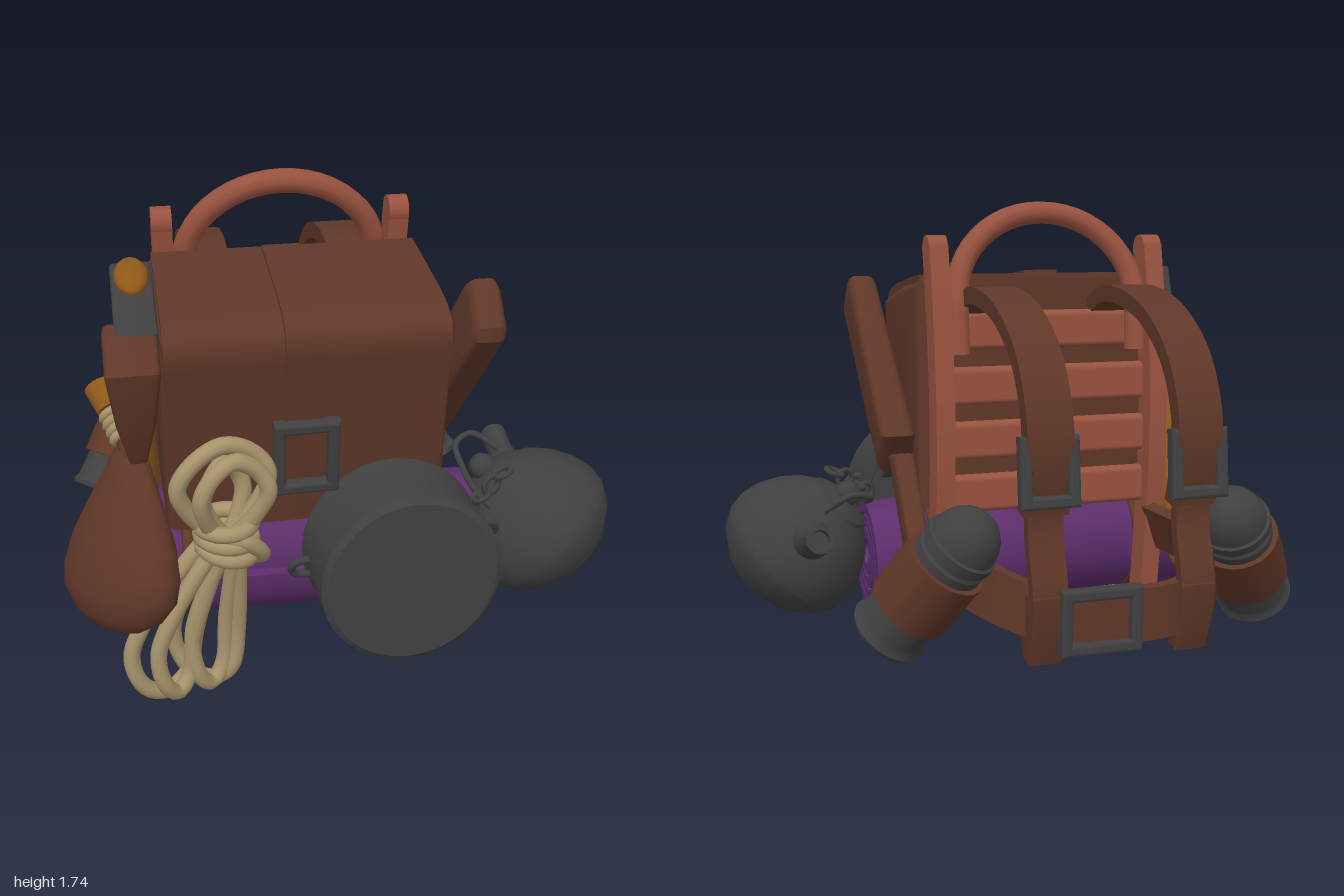
import * as THREE from 'three';
import { toCreasedNormals } from 'three/addons/utils/BufferGeometryUtils.js';
import { RoundedBoxGeometry } from 'three/addons/geometries/RoundedBoxGeometry.js';

const V = (x, y, z) => new THREE.Vector3(x, y, z);
const mat = (name, color) => Object.assign(new THREE.MeshStandardMaterial({ color }), { name });

export function createModel() {
  const root = new THREE.Group();
  root.name = 'hikingPack';
  const leather = mat('leather brown', 0x5f3728), frame = mat('frame red', 0x98523f);
  const purple = mat('blanket purple', 0x5d2e6c), metal = mat('dark metal', 0x404040);
  const rope = mat('rope tan', 0xa8946c), wood = mat('handle wood', 0x8f581a);

  const add = (name, geo, m, parent = root) => {
    const mesh = new THREE.Mesh(geo, m);
    mesh.name = name;
    parent.add(mesh);
    return mesh;
  };
  const curve = (pts, closed = false) =>
    new THREE.CatmullRomCurve3(pts.map(p => V(...p)), closed, 'centripetal');
  const tube = (name, pts, r, m, closed = false) =>
    add(name, new THREE.TubeGeometry(curve(pts, closed), closed ? 56 : 32, r, 10, closed), m);

  // Flat band swept along a curve; across(p) gives the direction of its width w, t is its thickness
  const ribbon = (name, pts, across, w, t, m, n = 32) => {
    const c = curve(pts), pos = [], idx = [];
    for (let i = 0; i <= n; i++) {
      const p = c.getPoint(i / n), W = across(p), N = c.getTangent(i / n).cross(W).normalize();
      for (const [a, b] of [[1, 1], [-1, 1], [-1, -1], [1, -1]])
        pos.push(...p.clone().addScaledVector(W, a * w / 2).addScaledVector(N, b * t / 2).toArray());
    }
    for (let i = 0; i < n; i++)
      for (let j = 0; j < 4; j++) {
        const a = i * 4 + j, b = i * 4 + (j + 1) % 4;
        idx.push(a, b, b + 4, a, b + 4, a + 4);
      }
    const e = n * 4;
    idx.push(0, 2, 1, 0, 3, 2, e, e + 1, e + 2, e, e + 2, e + 3);
    const g = new THREE.BufferGeometry();
    g.setAttribute('position', new THREE.Float32BufferAttribute(pos, 3));
    g.setIndex(idx);
    return add(name, toCreasedNormals(g, 0.7), m);
  };

  // Side profile given as [z, y], extruded from x0 to x1 with rounded edges
  const side = (pts, x0, x1, bevel) => {
    const s = new THREE.Shape(pts.map(([z, y]) => new THREE.Vector2(-z, y)));
    const g = new THREE.ExtrudeGeometry(s, {
      depth: x1 - x0 - 2 * bevel, bevelEnabled: bevel > 0, bevelSize: bevel,
      bevelOffset: -bevel, bevelThickness: bevel, bevelSegments: 3 });
    g.rotateY(Math.PI / 2).translate(x0 + bevel, 0, 0);
    return toCreasedNormals(g, 0.6);
  };
  // Moves x of every vertex by a rule f(x, y)
  const bendX = (g, f) => {
    const p = g.attributes.position;
    for (let i = 0; i < p.count; i++) p.setX(i, f(p.getX(i), p.getY(i)));
    return toCreasedNormals(g, 0.6);
  };

  // Group whose local y axis runs from a towards b
  const along = (name, a, b) => {
    const g = new THREE.Group();
    g.name = name;
    g.position.set(...a);
    g.quaternion.setFromUnitVectors(V(0, 1, 0), V(...b).sub(V(...a)).normalize());
    root.add(g);
    return g;
  };
  const lathe = (name, pts, m, parent, crease = 0.6) =>
    add(name, toCreasedNormals(new THREE.LatheGeometry(pts.map(p => new THREE.Vector2(...p)), 32), crease), m, parent);

  const buckle = (name, p, w, h, rx = 0, ry = 0) => {
    const box = (a, b) => [[-a, -b], [a, -b], [a, b], [-a, b]].map(q => new THREE.Vector2(...q));
    const s = new THREE.Shape(box(w / 2, h / 2));
    s.holes.push(new THREE.Path(box(w / 2 - 0.04, h / 2 - 0.04)));
    const g = new THREE.ExtrudeGeometry(s, { depth: 0.03, bevelSize: 0.01, bevelThickness: 0.01, bevelOffset: -0.01, bevelSegments: 2 });
    const mesh = add(name, g.translate(0, 0, -0.015), metal);
    mesh.position.set(...p);
    mesh.rotation.set(rx, ry, 0);
  };
  const cx = -0.165, X = () => V(1, 0, 0);

  // Main bag, flap and closing strap
  add('bag', side([[0.04, 1.465], [0.3, 1.435], [0.6, 1.37], [0.555, 1.08], [0.5, 0.64], [0.02, 0.62]], -0.64, 0.315, 0.035), leather);
  const lid = [[0.06, 1.465], [0.3, 1.435], [0.55, 1.385], [0.595, 1.34], [0.565, 1.15], [0.52, 0.88]];
  ribbon('flap', lid.map(([z, y]) => [cx, y, z]), X, 0.92, 0.04, leather, 40);
  ribbon('flapStrap', lid.map(([z, y]) => [-0.18, y + 0.016, z + 0.02]).concat([[-0.18, 0.76, 0.515]]), X, 0.13, 0.03, leather, 40);
  buckle('flapBuckle', [-0.175, 0.92, 0.57], 0.22, 0.28, 0.15);

  // Carrying frame: posts, slats and top handle
  for (const x of [-0.58, 0.25]) {
    ribbon('framePost', [[x, 1.58, 0], [x, 1.4, -0.035], [x, 1.1, -0.075], [x, 0.8, -0.08], [x, 0.5, -0.055], [x, 0.25, -0.025]], X, 0.07, 0.105, frame);
    const cap = add('postCap', new THREE.CylinderGeometry(0.052, 0.052, 0.07, 20).rotateZ(Math.PI / 2), frame);
    cap.position.set(x, 1.575, 0.002);
  }
  [1.28, 1.08, 0.88, 0.68].forEach((y, i) => {
    const slat = add('frameSlat', new RoundedBoxGeometry(0.88, 0.14, 0.06, 3, 0.022), frame);
    slat.position.set(cx, y, [0.005, -0.03, -0.04, -0.04][i]);
  });
  const arch = [];
  for (let i = 0; i <= 10; i++) {
    const a = Math.PI * i / 10;
    arch.push([cx - 0.345 * Math.cos(a), 1.4 + 0.308 * Math.sin(a), -0.045 + 0.085 * Math.sin(a)]);
  }
  tube('topHandle', [[-0.51, 1.2, -0.06], ...arch, [0.18, 1.2, -0.06]], 0.042, frame);

  // Shoulder straps with buckles and hanging tips
  for (const x of [-0.425, 0.09]) {
    ribbon('shoulderStrap', [[x, 1.36, 0.02], [x, 1.41, -0.1], [x, 1.415, -0.25], [x, 1.365, -0.47], [x, 1.235, -0.665], [x, 1.06, -0.76], [x, 0.92, -0.765], [x, 0.76, -0.73]], X, 0.155, 0.06, leather, 48);
    ribbon('strapTail', [[x, 0.93, -0.755], [x, 0.7, -0.735], [x, 0.5, -0.785], [x, 0.34, -0.76]], X, 0.12, 0.04, leather);
    add('strapTip', side([[-0.71, 0.42], [-0.72, 0.5], [-0.82, 0.5], [-0.815, 0.42], [-0.76, 0.26], [-0.71, 0.27], [-0.67, 0.33]], x - 0.06, x + 0.06, 0.008), leather);
    buckle('strapBuckle', [x, 0.9, -0.78], 0.2, 0.23, 0.1, Math.PI);
  }

  // Hip belt, its lower edge flaring outwards at the sides
  const half = [[-0.42, 0.52, -0.1], [-0.45, 0.51, -0.28], [-0.445, 0.5, -0.45], [-0.38, 0.47, -0.64], [-0.22, 0.42, -0.76]];
  ribbon('hipBelt', [...half.map(([x, y, z]) => [cx + x, y, z]), [cx, 0.41, -0.785],
    ...half.slice().reverse().map(([x, y, z]) => [cx - x, y, z])],
  p => V((cx - p.x) * 0.9 * THREE.MathUtils.clamp((p.z + 0.75) / 0.5, 0, 1), 1, 0).normalize(), 0.18, 0.045, leather, 64);
  buckle('beltBuckle', [-0.08, 0.41, -0.81], 0.28, 0.22, 0, Math.PI);

  // Two flasks in leather holders
  for (const [a, b] of [[[0.54, 0.31, -0.43], [0.3, 0.7, -0.66]], [[-0.86, 0.31, -0.4], [-0.62, 0.7, -0.64]]]) {
    const g = along('flask', a, b);
    lathe('flaskBody', [[0, 0], [0.13, 0], [0.138, 0.015], [0.128, 0.035], [0.125, 0.05], [0.125, 0.39], [0.118, 0.4], [0.118, 0.415], [0.13, 0.42], [0.13, 0.45], [0.12, 0.455], [0.114, 0.49], [0.098, 0.525], [0.07, 0.555], [0.035, 0.572], [0, 0.577]], metal, g);
    lathe('flaskHolder', [[0.12, 0.14], [0.143, 0.14], [0.145, 0.25], [0.143, 0.36], [0.12, 0.36]], leather, g);
  }

  // Rolled blanket with spiral ends and two tie straps
  const outer = [], inner = [], turns = 3.5, steps = 112;
  for (let i = 0; i <= steps; i++) {
    const a = -2 * Math.PI * turns * i / steps, r = 0.07 + 0.18 * i / steps;
    outer.push(new THREE.Vector2(r * Math.cos(a), r * Math.sin(a)));
    inner.push(new THREE.Vector2((r - 0.043) * Math.cos(a), (r - 0.043) * Math.sin(a)));
  }
  const roll = new THREE.Group();
  roll.name = 'bedroll';
  roll.position.set(cx, 0.418, 0.245);
  roll.rotation.z = -0.03;
  root.add(roll);
  const spiral = new THREE.ExtrudeGeometry(new THREE.Shape([...outer, ...inner.reverse()]), { depth: 1.29, bevelEnabled: false });
  add('blanket', toCreasedNormals(spiral.rotateY(Math.PI / 2).translate(-0.65, 0, 0), 0.6), purple, roll);
  const core = add('blanketCore', new THREE.CylinderGeometry(0.2, 0.2, 1.25, 32).rotateZ(Math.PI / 2), purple, roll);
  core.position.x = -0.005;
  for (const x of [-0.41, 0.41]) {
    const tie = add('rollTie', new THREE.TorusGeometry(0.232, 0.013, 8, 40).rotateY(Math.PI / 2), leather, roll);
    tie.position.set(x, -0.004, 0.008);
    tie.scale.x = 1.6;
  }

  // Cooking pot, base facing forward, with side grips
  const pot = along('pot', [0.125, 0.545, 0.53], [0.14, 0.55, 0.83]);
  lathe('potBody', [[0, 0.04], [0.27, 0.04], [0.285, 0], [0.315, 0], [0.315, 0.02], [0.305, 0.04], [0.312, 0.25], [0.31, 0.275], [0.29, 0.29], [0, 0.295]], metal, pot);
  for (const s of [-1, 1]) {
    const grip = add('potGrip', new THREE.TorusGeometry(0.05, 0.014, 8, 20), metal);
    grip.position.set(0.125 + s * 0.31, 0.55 + s * 0.04, 0.6);
    grip.rotation.x = 0.5;
  }

  // Kettle lying on its side, with spout, lid knob and wire handle
  const kettle = along('kettle', [0.85, 0.317, 0.37], [0.19, 1.017, 0.12]);
  lathe('kettleBody', [[0, -0.035], [0.12, -0.028], [0.18, -0.01], [0.205, 0.012], [0.255, 0.06], [0.284, 0.12], [0.288, 0.17], [0.272, 0.24], [0.235, 0.31], [0.185, 0.37], [0.13, 0.41], [0.125, 0.42], [0.07, 0.445], [0, 0.455]], metal, kettle, 0.4);
  const knob = add('lidKnob', new THREE.SphereGeometry(0.05, 16, 12), metal, kettle);
  knob.position.y = 0.465;
  const spout = along('spout', [0.71, 0.5, 0.14], [0.712, 0.57, -0.14]);
  lathe('spoutTube', [[0.09, 0], [0.07, 0.08], [0.055, 0.14], [0.048, 0.2], [0.05, 0.29], [0.035, 0.29], [0.03, 0.25], [0, 0.25]], metal, spout, 0.8);
  tube('kettleHandle', [[0.66, 0.62, 0.08], [0.56, 0.68, 0.05], [0.49, 0.66, 0.08], [0.48, 0.62, 0.22], [0.48, 0.62, 0.42], [0.5, 0.62, 0.52]], 0.012, metal);
  for (let i = 0; i < 4; i++) {
    const link = add('chainLink', new THREE.TorusGeometry(0.034, 0.011, 8, 16), metal);
    link.position.set(0.43 + i * 0.045, 0.6 + i * 0.033, 0.47 - i * 0.02);
    link.rotation.set(i % 2 * 1.4, 0.4, 0.6);
  }

  // Blade sheath on the left side, leaning outwards and thinner at the top
  const sheath = side([[0.47, 1.465], [0.52, 1.45], [0.62, 1.35], [0.62, 1.3], [0.13, 0.74], [0, 0.9], [0.43, 1.44]], -0.065, 0.065, 0.035);
  add('sheath', bendX(sheath, (x, y) => 0.405 + 0.07 * (y - 1.1) + x * (1.05 - 0.6 * Math.max(0, y - 1.1))), leather);
  add('sheathGrip', side([[0.08, 0.82], [-0.02, 0.84], [-0.25, 0.57], [-0.24, 0.53], [-0.15, 0.51]], 0.34, 0.42, 0.02), leather);
  add('sheathGuard', side([[0.24, 0.7], [0.1, 0.86], [0.08, 0.82], [0.18, 0.72]], 0.35, 0.41, 0.008), metal);

  // Axe with curved handle and covered blade
  add('axeHandle', side([[0.36, 1.45], [0.26, 1.2], [0.13, 0.9], [0.05, 0.66], [0.01, 0.5], [-0.07, 0.39], [-0.12, 0.355], [-0.2, 0.35],
    [-0.245, 0.39], [-0.23, 0.43], [-0.14, 0.5], [-0.08, 0.65], [0.01, 0.92], [0.14, 1.25], [0.24, 1.46]], -0.752, -0.648, 0.036), wood);
  const top = add('axeHandleTop', new THREE.SphereGeometry(1, 24, 12), wood);
  top.position.set(-0.7, 1.49, 0.31);
  top.scale.set(0.056, 0.036, 0.1);
  top.rotation.x = 0.25;
  add('axeHead', side([[0.13, 1.3], [0.2, 1.5], [0.38, 1.465], [0.6, 1.4], [0.52, 1.12], [0.36, 1.2], [0.2, 1.22]], -0.768, -0.632, 0.012), metal);
  const cover = side([[0.52, 1.41], [0.6, 1.4], [0.725, 1.32], [0.68, 1.12], [0.6, 0.96], [0.5, 1.0], [0.47, 1.14]], -0.085, 0.085, 0.02);
  add('axeCover', bendX(cover, (x, y) => -0.722 + x * THREE.MathUtils.clamp((y - 0.82) / 0.42, 0.3, 1)), leather);

  // Flattened water skin with bound neck and stopper
  const skin = along('waterSkin', [-0.835, 0.335, 0.6], [-0.735, 0.96, 0.38]);
  const skinBody = lathe('skinBody', [[0, 0], [0.08, 0.012], [0.145, 0.06], [0.185, 0.13], [0.19, 0.21], [0.17, 0.31], [0.13, 0.42], [0.085, 0.53], [0.05, 0.62], [0.03, 0.67], [0, 0.67]], leather, skin, 0.9);
  skinBody.scale.set(1.3, 1, 0.68);
  skinBody.rotation.y = -0.85;
  const neck = along('skinNeck', [-0.745, 0.92, 0.39], [-0.83, 1.07, 0.2]);
  add('stopper', new THREE.CylinderGeometry(0.058, 0.05, 0.1, 20), wood, neck).position.y = 0.2;
  add('neckTube', new THREE.CylinderGeometry(0.035, 0.04, 0.2, 16), leather, neck).position.y = 0.06;
  for (let i = 0; i < 4; i++)
    add('neckBinding', new THREE.TorusGeometry(0.04, 0.016, 8, 20).rotateX(Math.PI / 2), rope, neck).position.y = 0.04 + i * 0.03;

  // Coiled rope: long lower loops, short upper loops and a wrapped middle
  const loop = (k, [x, y, z], w, bulge, dz) => {
    const tip = y + 0.05 * Math.sign(bulge);
    tube('ropeLoop', [k, [x - w, y + bulge, z + dz], [x - w * 0.7, tip, z + dz], [x, y, z],
      [x + w * 0.7, tip, z - dz], [x + w, y + bulge, z - dz]], 0.029, rope, true);
  };
  loop([-0.5, 0.68, 0.62], [-0.68, 0.06, 0.6], 0.11, 0.2, 0.03);
  loop([-0.47, 0.68, 0.65], [-0.64, 0.08, 0.64], 0.06, 0.2, 0.03);
  loop([-0.44, 0.68, 0.62], [-0.53, 0.035, 0.52], 0.11, 0.22, -0.03);
  loop([-0.43, 0.68, 0.64], [-0.52, 0.06, 0.58], 0.06, 0.24, 0.03);
  loop([-0.46, 0.68, 0.62], [-0.46, 1.03, 0.66], 0.15, -0.14, 0.03);
  loop([-0.46, 0.68, 0.65], [-0.43, 1.0, 0.72], 0.11, -0.13, 0.02);
  loop([-0.45, 0.68, 0.62], [-0.46, 0.95, 0.63], 0.07, -0.12, 0.04);
  for (let i = 0; i < 3; i++) {
    const wrap = add('ropeWrap', new THREE.TorusGeometry(0.085, 0.028, 10, 28).rotateX(Math.PI / 2), rope);
    wrap.position.set(-0.455, 0.64 + i * 0.048, 0.635);
    wrap.rotation.z = -0.25 + i * 0.12;
  }
  tube('ropeTail', [[-0.5, 0.72, 0.7], [-0.4, 0.7, 0.71], [-0.34, 0.62, 0.66], [-0.36, 0.58, 0.6]], 0.028, rope);
  return root;
}
